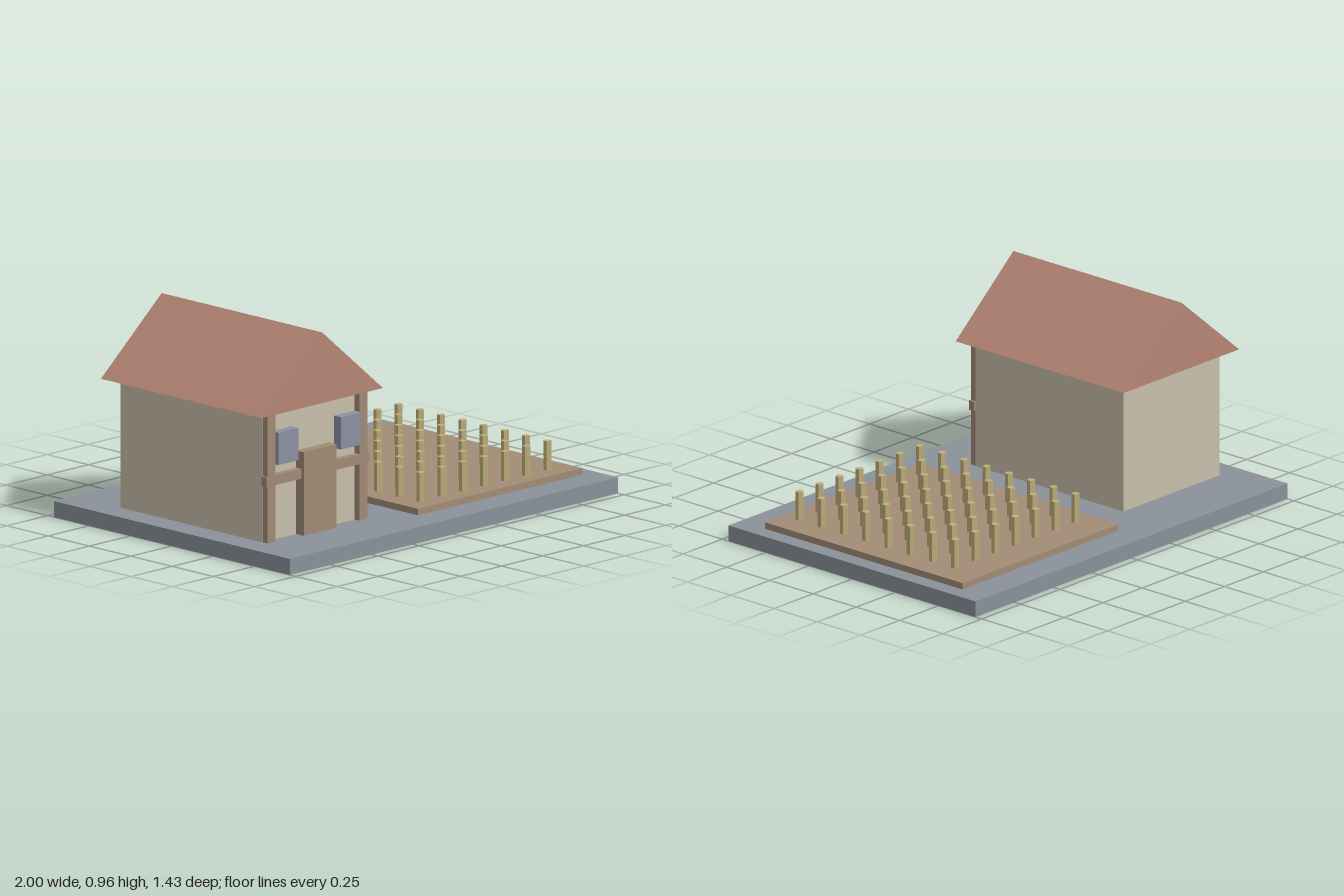
import * as THREE from 'three';

const paint = (name, color) => {
  const m = new THREE.MeshStandardMaterial({ color });
  m.name = name;
  return m;
};

export function createModel() {
  const stone = paint('stone', 0x8a9199);
  const plaster = paint('plaster', 0xc8bfa9);
  const timber = paint('timber', 0xa08a75);
  const soil = paint('soil', 0xa18c76);
  const tile = paint('roofTile', 0xb68576);
  const glass = paint('glass', 0x8a91a0);
  const straw = paint('straw', 0xc0ae7c);
  straw.flatShading = true;

  const model = new THREE.Group();
  model.name = 'farmhouse';

  // Box given by its min and max corners
  const box = (parent, name, mat, [x0, y0, z0], [x1, y1, z1]) => {
    const mesh = new THREE.Mesh(new THREE.BoxGeometry(x1 - x0, y1 - y0, z1 - z0), mat);
    mesh.position.set((x0 + x1) / 2, (y0 + y1) / 2, (z0 + z1) / 2);
    mesh.name = name;
    parent.add(mesh);
  };

  const ground = 0.071, eaves = 0.643;
  box(model, 'base', stone, [-1, 0, -0.714], [1, ground, 0.714]);

  // House, centred on its own x = 0
  const house = new THREE.Group();
  house.name = 'house';
  house.position.x = -0.573;
  model.add(house);
  box(house, 'walls', plaster, [-0.307, ground, -0.428], [0.307, eaves, 0.428]);
  box(house, 'crossBeam', timber, [-0.314, 0.322, 0.429], [0.314, 0.365, 0.46]);
  box(house, 'door', timber, [-0.1, ground, 0.428], [0.1, 0.441, 0.474]);
  for (const [side, s] of [['left', 1], ['right', -1]]) {
    const span = (a, b) => (s > 0 ? [a, b] : [-b, -a]);
    const [p0, p1] = span(0.256, 0.304);
    box(house, side + 'Post', timber, [p0, ground, 0.427], [p1, eaves, 0.457]);
    const [w0, w1] = span(0.129, 0.252);
    box(house, side + 'Window', glass, [w0, 0.411, 0.427], [w1, 0.554, 0.471]);
  }

  // Gabled roof as an extruded triangle
  const gable = new THREE.Shape([
    new THREE.Vector2(-0.37, eaves),
    new THREE.Vector2(0.37, eaves),
    new THREE.Vector2(0, 0.956),
  ]);
  const roofGeometry = new THREE.ExtrudeGeometry(gable, { depth: 0.971, bevelEnabled: false });
  roofGeometry.translate(0, 0, -0.4855);
  const roof = new THREE.Mesh(roofGeometry, tile);
  roof.name = 'roof';
  house.add(roof);

  // Crop field with rows of six-sided stalks
  const field = new THREE.Group();
  field.name = 'field';
  model.add(field);
  box(field, 'soilBed', soil, [-0.075, ground, -0.571], [0.925, 0.1, 0.571]);
  const stalkGeometry = new THREE.CylinderGeometry(0.018, 0.018, 0.13, 6);
  for (let col = 0; col < 7; col++) {
    for (let row = 0; row < 8; row++) {
      const stalk = new THREE.Mesh(stalkGeometry, straw);
      stalk.position.set(0.027 + col * 0.1286, 0.165, -0.415 + row * 0.1286);
      stalk.name = 'stalk';
      field.add(stalk);
    }
  }
  return model;
}
